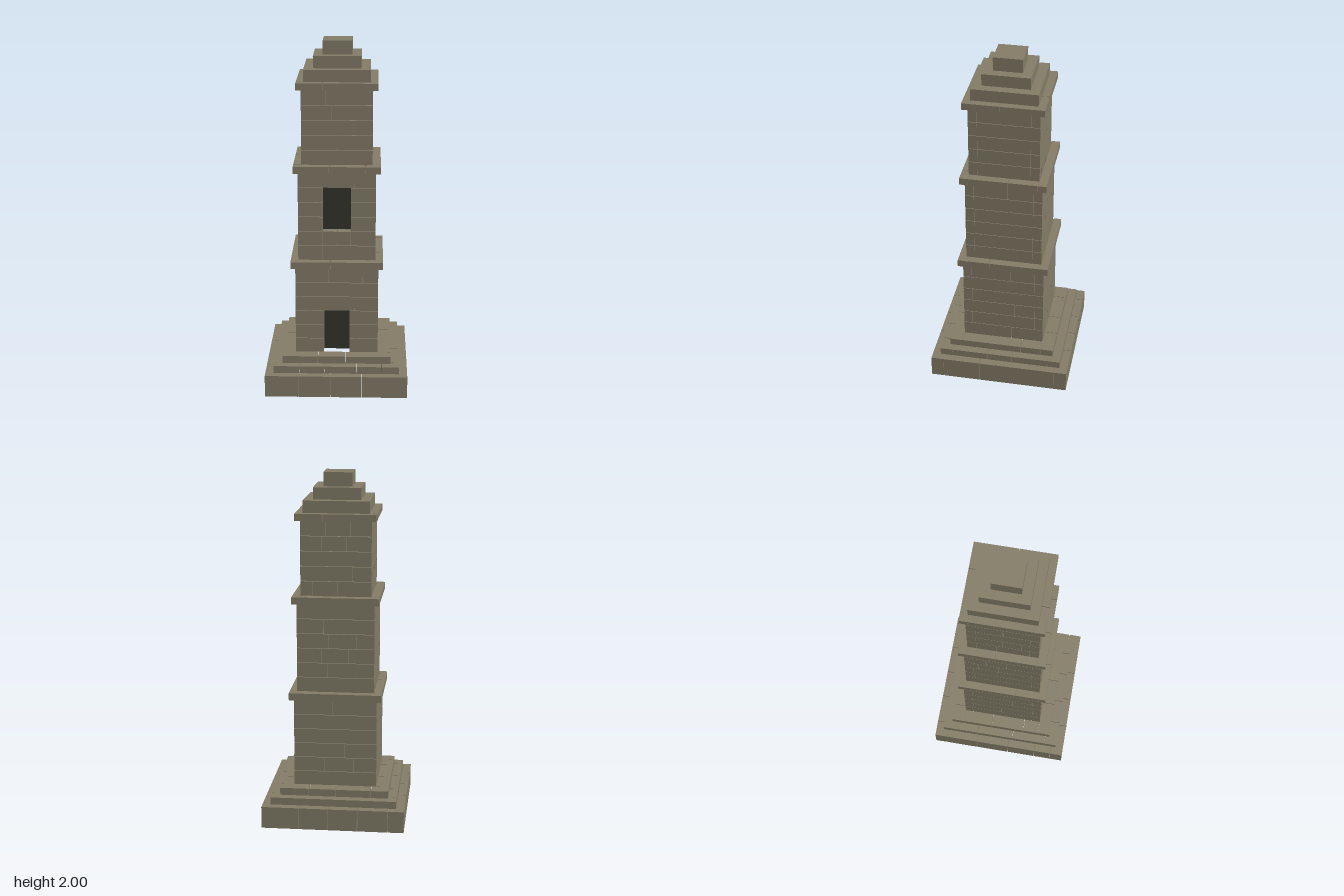
import * as THREE from 'three';

const stone = new THREE.MeshStandardMaterial({ color: 0x857e69 });
stone.name = 'weathered stone';
const shadow = new THREE.MeshStandardMaterial({ color: 0x35352e });
shadow.name = 'dark opening';

const JOINT = 0.003;

// seeded numbers for the irregular masonry joints
let seed = 11;
const rand = () => (seed = (seed * 16807) % 2147483647) / 2147483647;

function box(parent, name, material, w, h, d, x, y, z) {
  const mesh = new THREE.Mesh(new THREE.BoxGeometry(w, h, d), material);
  mesh.name = name;
  mesh.position.set(x, y, z);
  parent.add(mesh);
}

// zero to two joints for a run of the given half length
function randomJoints(half) {
  const count = Math.floor(rand() * 2.6);
  const first = (rand() - 0.5) * half;
  return count === 0 ? [] : count === 1 ? [first] : [first - half * 0.35, first + half * 0.35];
}

// A straight run of blocks on one side, cut at the joints, minus an opening
function run(parent, alongX, half, offset, y0, y1, thick, joints, open = 0) {
  let cuts = [-half, ...joints, half];
  if (open) cuts = [...cuts.filter((c) => Math.abs(c) > open), -open, open];
  cuts.sort((a, b) => a - b);
  for (let i = 0; i < cuts.length - 1; i++) {
    const mid = (cuts[i] + cuts[i + 1]) / 2;
    if (open && Math.abs(mid) < open) continue;
    const a = cuts[i] + (i ? JOINT / 2 : 0);
    const b = cuts[i + 1] - (i < cuts.length - 2 ? JOINT / 2 : 0);
    const m = (a + b) / 2, y = (y0 + y1) / 2, h = y1 - y0;
    if (alongX) box(parent, 'block', stone, b - a, h, thick, m, y, offset);
    else box(parent, 'block', stone, thick, h, b - a, offset, y, m);
  }
}

// One hollow square course: front and back run full width, sides fit between
function course(parent, name, half, y0, y1, thick, { front, back, left, right, open } = {}) {
  const ring = new THREE.Group();
  ring.name = name;
  const off = half - thick / 2, inner = half - thick - JOINT / 2;
  run(ring, true, half, off, y0, y1, thick, front ?? randomJoints(half), open);
  run(ring, true, half, -off, y0, y1, thick, back ?? randomJoints(half));
  run(ring, false, inner, off, y0, y1, thick, left ?? randomJoints(inner));
  run(ring, false, inner, -off, y0, y1, thick, right ?? randomJoints(inner));
  parent.add(ring);
}

// A storey of equal courses; the listed rows leave an opening in the front
function storey(parent, name, half, y0, rows, fronts, sides, openRows, open) {
  const group = new THREE.Group();
  group.name = name;
  const step = 0.085;
  for (let i = 0; i < rows; i++) {
    course(group, 'wallCourse', half, y0 + i * step, y0 + (i + 1) * step - JOINT, 0.05, {
      front: fronts[i] ?? [], left: sides[i] ?? [],
      open: openRows.includes(i) ? open : 0,
    });
  }
  parent.add(group);
}

export function createModel() {
  seed = 11;
  const tower = new THREE.Group();
  tower.name = 'stoneTower';

  // stepped hollow plinth
  course(tower, 'plinthBase', 0.407, 0, 0.126, 0.074, {
    front: [-0.212, -0.032, 0.148], back: [-0.315, -0.142, 0.024, 0.194],
    left: [0.115], right: [-0.137, 0.06, 0.23],
  });
  course(tower, 'plinthMiddleStep', 0.36, 0.126, 0.168, 0.074, {
    front: [-0.21, -0.066, 0.118, 0.26], back: [], left: [-0.072, 0.073], right: [-0.142, 0.08],
  });
  course(tower, 'plinthTopStep', 0.311, 0.168, 0.21, 0.074, {
    front: [-0.107, 0.05], back: [-0.21, -0.008, 0.145], left: [-0.115], right: [-0.06, 0.142],
  });

  // lower storey with doorway
  storey(tower, 'lowerStorey', 0.237, 0.21, 6,
    { 3: [0.1], 5: [-0.045, 0.15] }, { 0: [-0.048], 2: [-0.068], 5: [-0.042] }, [0, 1, 2], 0.073);
  box(tower, 'doorPanel', shadow, 0.148, 0.255, 0.008, 0, 0.3375, 0.181);
  course(tower, 'lowerCornice', 0.263, 0.723, 0.764, 0.048, {
    front: [-0.037], back: [], left: [0.077], right: [0.082],
  });

  // middle storey with window
  storey(tower, 'middleStorey', 0.22, 0.767, 6,
    { 0: [-0.08], 1: [-0.08, 0.005, 0.08], 5: [0.1] }, { 5: [-0.024] }, [2, 3, 4], 0.079);
  box(tower, 'windowPanel', shadow, 0.16, 0.255, 0.008, 0, 1.0625, 0.164);
  course(tower, 'middleCornice', 0.246, 1.277, 1.318, 0.048, {
    front: [-0.043, 0.16], back: [], left: [-0.03], right: [-0.037],
  });

  // upper storey
  storey(tower, 'upperStorey', 0.2, 1.32, 5,
    { 1: [0.002], 3: [-0.03], 4: [-0.06] }, {}, [], 0);
  course(tower, 'upperCornice', 0.228, 1.746, 1.785, 0.048, {
    front: [-0.077], back: [0.071], left: [0.02], right: [],
  });

  // stepped cap
  for (const [half, y0, y1] of [[0.187, 1.785, 1.853], [0.135, 1.853, 1.921], [0.082, 1.921, 2]]) {
    box(tower, 'capStep', stone, half * 2, y1 - y0, half * 2, 0, (y0 + y1) / 2, 0);
  }
  return tower;
}
